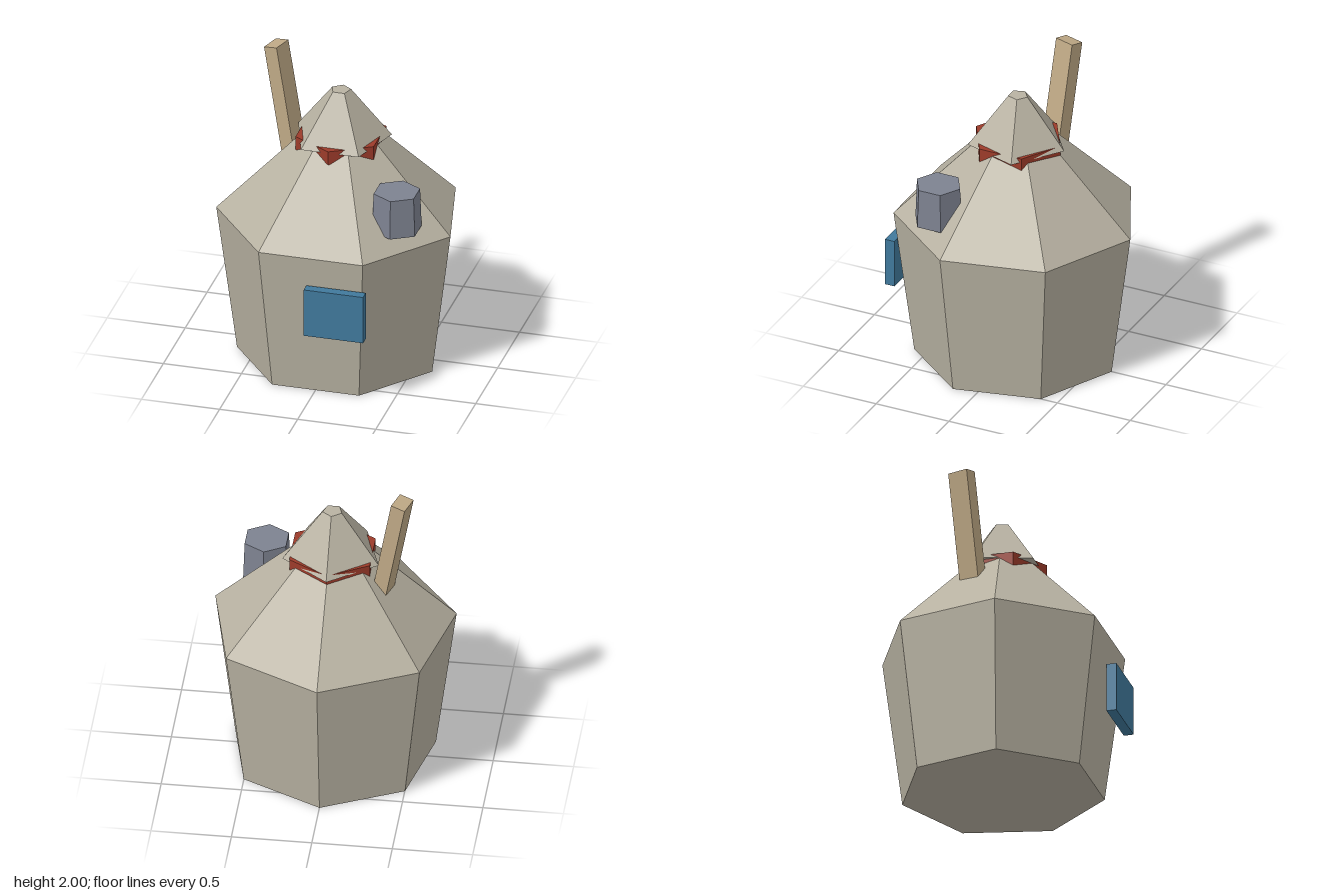
import * as THREE from 'three';

const mat = (color) => new THREE.MeshStandardMaterial({ color, flatShading: true });

export function createModel() {
  const group = new THREE.Group();
  const stone = mat(0xb8b2a2), wood = mat(0xbfa986), red = mat(0x9c3b2a);
  const blue = mat(0x40799c), slate = mat(0x7d8290);

  const add = (name, geometry, material, x, y, z) => {
    const mesh = new THREE.Mesh(geometry, material);
    mesh.name = name;
    mesh.position.set(x, y, z);
    group.add(mesh);
    return mesh;
  };

  // Upright faceted frustum between two heights; start is the angle of its first corner from +z
  const frustum = (name, material, sides, rTop, rBottom, y0, y1, x, z, start = 0, open = false) =>
    add(name, new THREE.CylinderGeometry(rTop, rBottom, y1 - y0, sides, 1, open, start, Math.PI * 2),
      material, x, (y0 + y1) / 2, z);

  const cz = 0.013;

  // Seven-sided body and shoulder, each with a corner at the back
  frustum('body', stone, 7, 0.769, 0.641, 0, 0.965, 0, cz, Math.PI);
  frustum('shoulderRoof', stone, 7, 0.233, 0.769, 0.965, 1.5, 0, cz, Math.PI, true);

  // Six-sided band poking out from under the five-sided cap
  frustum('neckBand', red, 6, 0.289, 0.289, 1.418, 1.508, 0, cz);
  frustum('cap', stone, 5, 0.063, 0.315, 1.48, 1.8, 0, cz, Math.PI);

  // Six-sided pot on the roof
  frustum('pot', slate, 6, 0.148, 0.158, 1.06, 1.317, 0.45, 0.34);

  // Plaque in front of the wall
  add('frontPlaque', new THREE.BoxGeometry(0.38, 0.317, 0.063), blue, 0.16, 0.613, 0.724);

  // Leaning post, turned and then tilted outwards
  add('leaningPost', new THREE.BoxGeometry(0.093, 0.8, 0.135), wood, -0.38, 1.599, -0.095)
    .rotation.set(0, -0.3, 0.185);

  return group;
}
